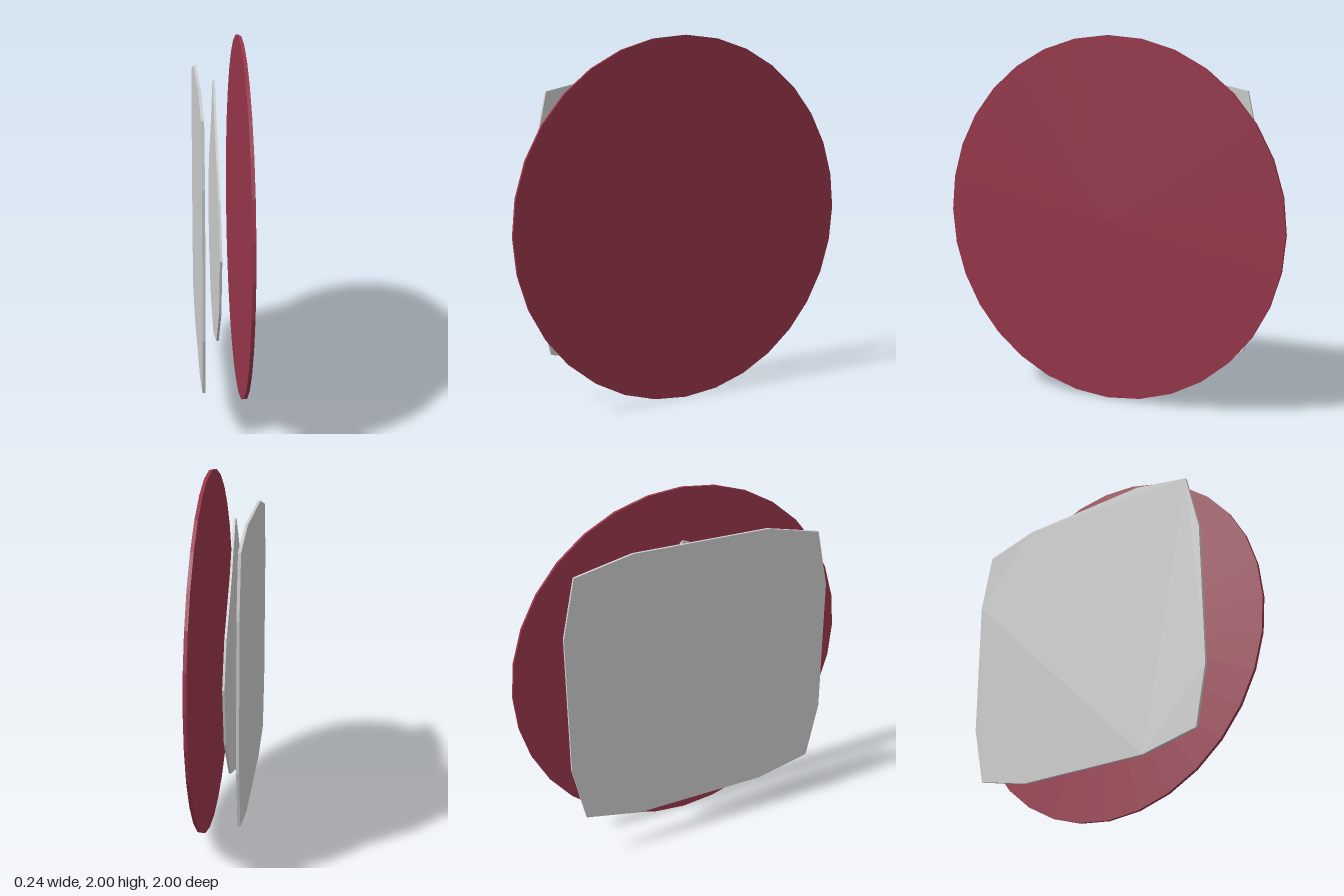
import * as THREE from 'three';

const grey = new THREE.MeshStandardMaterial({ color: 0xcccccc, flatShading: true });
const red = new THREE.MeshStandardMaterial({ color: 0x98364a, flatShading: true });

// Upright slab: outline given as [z, y] pairs, spanning x from xMin to xMax
function slab(name, outline, xMin, xMax) {
  const shape = new THREE.Shape(outline.map(([z, y]) => new THREE.Vector2(z, y)));
  const geometry = new THREE.ExtrudeGeometry(shape, { depth: xMax - xMin, bevelEnabled: false });
  geometry.rotateY(-Math.PI / 2);
  geometry.translate(xMax, 0, 0);
  const mesh = new THREE.Mesh(geometry, grey);
  mesh.name = name;
  return mesh;
}

export function createModel() {
  const model = new THREE.Group();
  model.name = 'layeredDisc';

  // Large round disc standing on its rim
  const discGeometry = new THREE.CylinderGeometry(1, 1, 0.018, 32);
  discGeometry.rotateZ(Math.PI / 2);
  const disc = new THREE.Mesh(discGeometry, red);
  disc.name = 'disc';
  disc.position.set(0.109, 1, 0);
  model.add(disc);

  // Square backing plate with bowed sides: one side turned four times
  const plate = [];
  for (let i = 0; i < 4; i++) {
    const c = Math.round(Math.cos(i * Math.PI / 2));
    const s = Math.round(Math.sin(i * Math.PI / 2));
    for (const [u, v] of [[0.78, -0.39], [0.78, 0.39], [0.71, 0.71]]) {
      plate.push([u * c - v * s, 1 + u * s + v * c]);
    }
  }
  model.add(slab('backPlate', plate, -0.125, -0.11));

  // Thin inner layer between plate and disc, narrowing to a blunt tip
  const inner = [
    [-0.03, 1.75], [-0.065, 1.76], [-0.1, 1.72], [-0.26, 1.48], [-0.5, 1.22],
    [-0.6, 0.98], [-0.53, 0.66], [-0.3, 0.4], [0, 0.3], [0.32, 0.4],
    [0.57, 0.66], [0.65, 0.98], [0.5, 1.25], [0.2, 1.5],
  ].reverse();
  model.add(slab('innerLayer', inner, -0.032, -0.02));

  return model;
}
